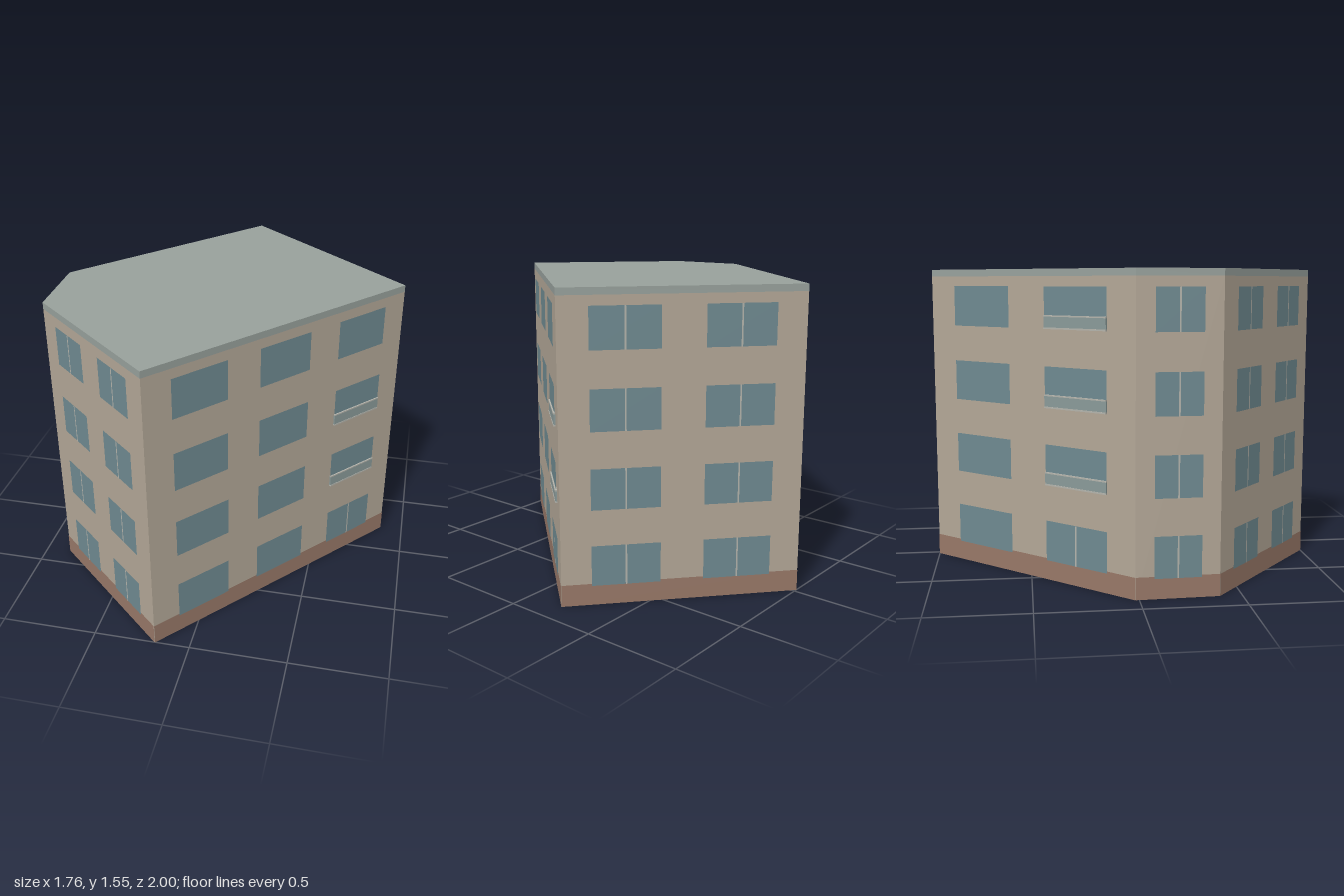
import * as THREE from 'three';

const HEIGHT = 1.55, ROOF = 0.035, PLINTH = 0.11;
const FLOOR_PITCH = 0.387, SILL = 0.1, WINDOW_H = 0.205;

const paint = (color, side = THREE.FrontSide) =>
  new THREE.MeshStandardMaterial({ color, side });
const mats = {
  wall: paint(0xb3a797, THREE.DoubleSide),
  plinth: paint(0x987868),
  glass: paint(0x6f8a91),
  roof: paint(0x98a19c),
  trim: paint(0xb4b4ac),
  railing: paint(0x8a9a99),
};

// Footprint corners [x, z]; each wall runs left to right as seen from outside.
const corners = [[-0.18, 1], [0.875, -0.21], [-0.02, -1], [-0.88, -0.02], [-0.865, 0.39]];

// Window columns as fractions of the wall length.
// split: floors with a centre mullion; balcony: floors with a railing.
const all = [0, 1, 2, 3];
const walls = [
  { name: 'frontRightWall', columns: [
    { from: 0.095, to: 0.289, split: [], balcony: [] },
    { from: 0.408, to: 0.602, split: [], balcony: [] },
    { from: 0.72, to: 0.915, split: [0], balcony: [1, 2] }] },
  { name: 'backRightWall', columns: [
    { from: 0.125, to: 0.41, split: all, balcony: [] },
    { from: 0.59, to: 0.875, split: all, balcony: [] }] },
  { name: 'backLeftWall', columns: [
    { from: 0.128, to: 0.414, split: [], balcony: [] },
    { from: 0.59, to: 0.876, split: [0], balcony: [1, 2, 3] }] },
  { name: 'chamferWall', columns: [
    { from: 0.22, to: 0.78, split: all, balcony: [] }] },
  { name: 'frontLeftWall', columns: [
    { from: 0.139, to: 0.416, split: all, balcony: [] },
    { from: 0.591, to: 0.869, split: all, balcony: [] }] },
];

// Flat panel in wall space: x along the wall, z outward.
function panel(name, mat, x0, x1, y0, y1, z) {
  const mesh = new THREE.Mesh(new THREE.PlaneGeometry(x1 - x0, y1 - y0), mat);
  mesh.name = name;
  mesh.position.set((x0 + x1) / 2, (y0 + y1) / 2, z);
  return mesh;
}

// Box standing out from the wall surface by a given depth.
function block(name, mat, x0, x1, y0, y1, depth) {
  const mesh = new THREE.Mesh(new THREE.BoxGeometry(x1 - x0, y1 - y0, depth), mat);
  mesh.name = name;
  mesh.position.set((x0 + x1) / 2, (y0 + y1) / 2, depth / 2);
  return mesh;
}

function createBalcony(x0, x1, y) {
  const balcony = new THREE.Group();
  balcony.name = 'balcony';
  balcony.add(
    block('balconySlab', mats.trim, x0, x1, y, y + 0.008, 0.011),
    block('balconyRailing', mats.railing, x0, x1, y + 0.008, y + 0.06, 0.009),
    block('balconyHandrail', mats.trim, x0, x1, y + 0.06, y + 0.067, 0.011));
  return balcony;
}

function createWall({ name, columns }, [ax, az], [bx, bz]) {
  const wall = new THREE.Group();
  wall.name = name;
  wall.position.set(ax, 0, az);
  wall.rotation.y = Math.atan2(az - bz, bx - ax);
  const length = Math.hypot(bx - ax, bz - az);
  wall.add(
    panel('wallSurface', mats.wall, 0, length, 0, HEIGHT - ROOF, 0),
    panel('plinth', mats.plinth, 0, length, 0, PLINTH, 0.002));

  for (const { from, to, split, balcony } of columns) {
    const x0 = from * length, x1 = to * length, mid = (x0 + x1) / 2;
    for (const floor of all) {
      const y = SILL + floor * FLOOR_PITCH;
      wall.add(panel('window', mats.glass, x0, x1, y, y + WINDOW_H, 0.004));
      if (split.includes(floor))
        wall.add(panel('mullion', mats.trim, mid - 0.004, mid + 0.004, y, y + WINDOW_H, 0.006));
      if (balcony.includes(floor)) wall.add(createBalcony(x0, x1, y));
    }
  }
  return wall;
}

// Flat roof slab, its edge flush with the walls.
function createRoof() {
  const shape = new THREE.Shape(corners.map(([x, z]) => new THREE.Vector2(x, -z)));
  const geometry = new THREE.ExtrudeGeometry(shape, { depth: ROOF, bevelEnabled: false });
  geometry.rotateX(-Math.PI / 2);
  const roof = new THREE.Mesh(geometry, mats.roof);
  roof.name = 'roof';
  roof.position.y = HEIGHT - ROOF;
  return roof;
}

export function createModel() {
  const building = new THREE.Group();
  building.name = 'apartmentBuilding';
  walls.forEach((wall, i) =>
    building.add(createWall(wall, corners[i], corners[(i + 1) % corners.length])));
  building.add(createRoof());
  return building;
}
